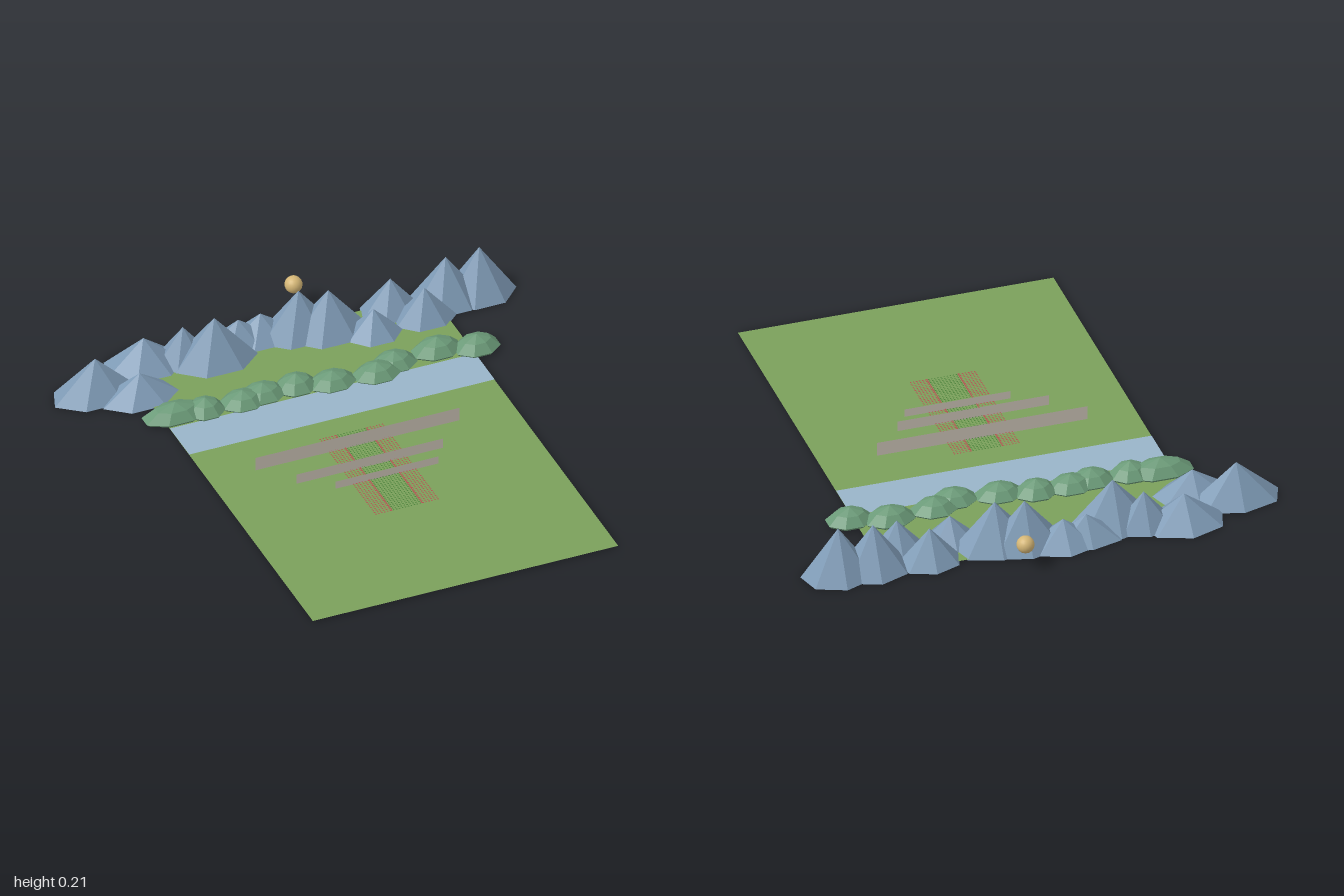
import * as THREE from 'three';
import { mergeGeometries } from 'three/addons/utils/BufferGeometryUtils.js';

const mat = (name, color, opts = {}) => {
  const m = new THREE.MeshStandardMaterial({ color, ...opts });
  m.name = name;
  return m;
};

export function createModel() {
  const root = new THREE.Group();
  root.name = 'landscape';

  const grass = mat('grass', 0x7ba05b, { side: THREE.DoubleSide });
  const water = mat('water', 0x98b4c8, { side: THREE.DoubleSide });
  const rock = mat('rock', 0x7f9bb6, { flatShading: true });
  const foliage = mat('foliage', 0x6b9a78, { flatShading: true });
  const stone = mat('stone', 0xc9c1b4, { side: THREE.DoubleSide });
  const bloom = mat('bloom', 0xb0504e, { side: THREE.DoubleSide });
  const leaf = mat('leaf', 0x4a8038, { side: THREE.DoubleSide });
  const gold = mat('gold', 0xd4b676);

  const add = (name, geometry, material, parent = root) => {
    const mesh = new THREE.Mesh(geometry, material);
    mesh.name = name;
    parent.add(mesh);
    return mesh;
  };
  const group = (name) => {
    const g = new THREE.Group();
    g.name = name;
    root.add(g);
    return g;
  };
  // Horizontal rectangle between two x and two z values
  const flat = (x0, x1, z0, z1, y) =>
    new THREE.PlaneGeometry(x1 - x0, z1 - z0).rotateX(-Math.PI / 2)
      .translate((x0 + x1) / 2, y, (z0 + z1) / 2);

  // Meadow and river
  add('ground', flat(-0.63, 0.65, -0.84, 1, 0.004), grass);
  add('river', flat(-0.63, 0.65, -0.4, -0.21, 0.006), water);

  // Mountain range: x, z, radius x, radius z, height
  const peaks = [
    [-0.8, -0.735, 0.183, 0.112, 0.165], [-0.555, -0.835, 0.17, 0.125, 0.13],
    [-0.65, -0.65, 0.165, 0.105, 0.11], [-0.4, -0.81, 0.13, 0.09, 0.155],
    [-0.29, -0.76, 0.18, 0.12, 0.2], [-0.16, -0.83, 0.16, 0.09, 0.11],
    [-0.065, -0.835, 0.15, 0.105, 0.11], [0.08, -0.8, 0.17, 0.11, 0.2],
    [0.19, -0.765, 0.17, 0.12, 0.195], [0.345, -0.685, 0.12, 0.1, 0.115],
    [0.465, -0.8, 0.13, 0.1, 0.15], [0.565, -0.7, 0.13, 0.095, 0.145],
    [0.69, -0.785, 0.15, 0.12, 0.2], [0.83, -0.782, 0.148, 0.12, 0.21],
  ];
  const mountains = group('mountains');
  for (const [x, z, rx, rz, h] of peaks) {
    const cone = new THREE.ConeGeometry(1, 1, 7).rotateY(Math.PI)
      .scale(rx, h, rz).translate(x, h / 2, z);
    add('mountain', cone, rock, mountains);
  }

  // Row of low wooded mounds: x, z, radius x, height
  const mounds = [
    [-0.578, -0.47, 0.132, 0.072], [-0.46, -0.455, 0.08, 0.07],
    [-0.305, -0.45, 0.09, 0.065], [-0.215, -0.465, 0.095, 0.065],
    [-0.075, -0.465, 0.085, 0.07], [0.065, -0.435, 0.095, 0.065],
    [0.245, -0.42, 0.095, 0.065], [0.335, -0.46, 0.09, 0.065],
    [0.52, -0.475, 0.1, 0.072], [0.67, -0.435, 0.092, 0.07],
  ];
  const profile = [[0, 0], [0.9, 0], [1, 0.15], [0.6, 0.68], [0, 1]]
    .map(([r, y]) => new THREE.Vector2(r, y));
  const woods = group('woodedMounds');
  for (const [x, z, rx, h] of mounds) {
    const mound = new THREE.LatheGeometry(profile, 8).rotateY(Math.PI / 8)
      .scale(rx * 1.06, h - 0.003, 0.073).translate(x, 0.003, z);
    add('woodedMound', mound, foliage, woods);
  }

  // Thin upright walls: left x, right x, z, top
  const walls = group('walls');
  for (const [x0, x1, z, top] of [
    [-0.435, 0.42, -0.015, 0.062], [-0.325, 0.288, 0.13, 0.047], [-0.2, 0.23, 0.22, 0.037],
  ]) {
    const wall = new THREE.PlaneGeometry(x1 - x0, top).translate((x0 + x1) / 2, top / 2, z);
    add('wall', wall, stone, walls);
  }

  // Flower field: dotted columns, red at the sides and green in the middle
  const red = [], green = [];
  for (let i = 0; i < 22; i++) {
    const x = -0.127 + i * 0.0124;
    const list = x < -0.058 || x > 0.062 ? red : green;
    for (let j = 0; j < 46; j++) {
      const z = -0.102 + j * 0.0121;
      list.push(flat(x - 0.003, x + 0.003, z - 0.003, z + 0.003, 0.008));
    }
  }
  for (const x of [-0.06, 0.066]) red.push(flat(x - 0.002, x + 0.002, -0.105, 0.446, 0.0085));
  const field = group('flowerField');
  add('redFlowers', mergeGeometries(red), bloom, field);
  add('greenShoots', mergeGeometries(green), leaf, field);

  // Sun behind the mountains
  add('sun', new THREE.SphereGeometry(0.035, 20, 14), gold).position.set(0.13, 0.11, -0.965);

  return root;
}
